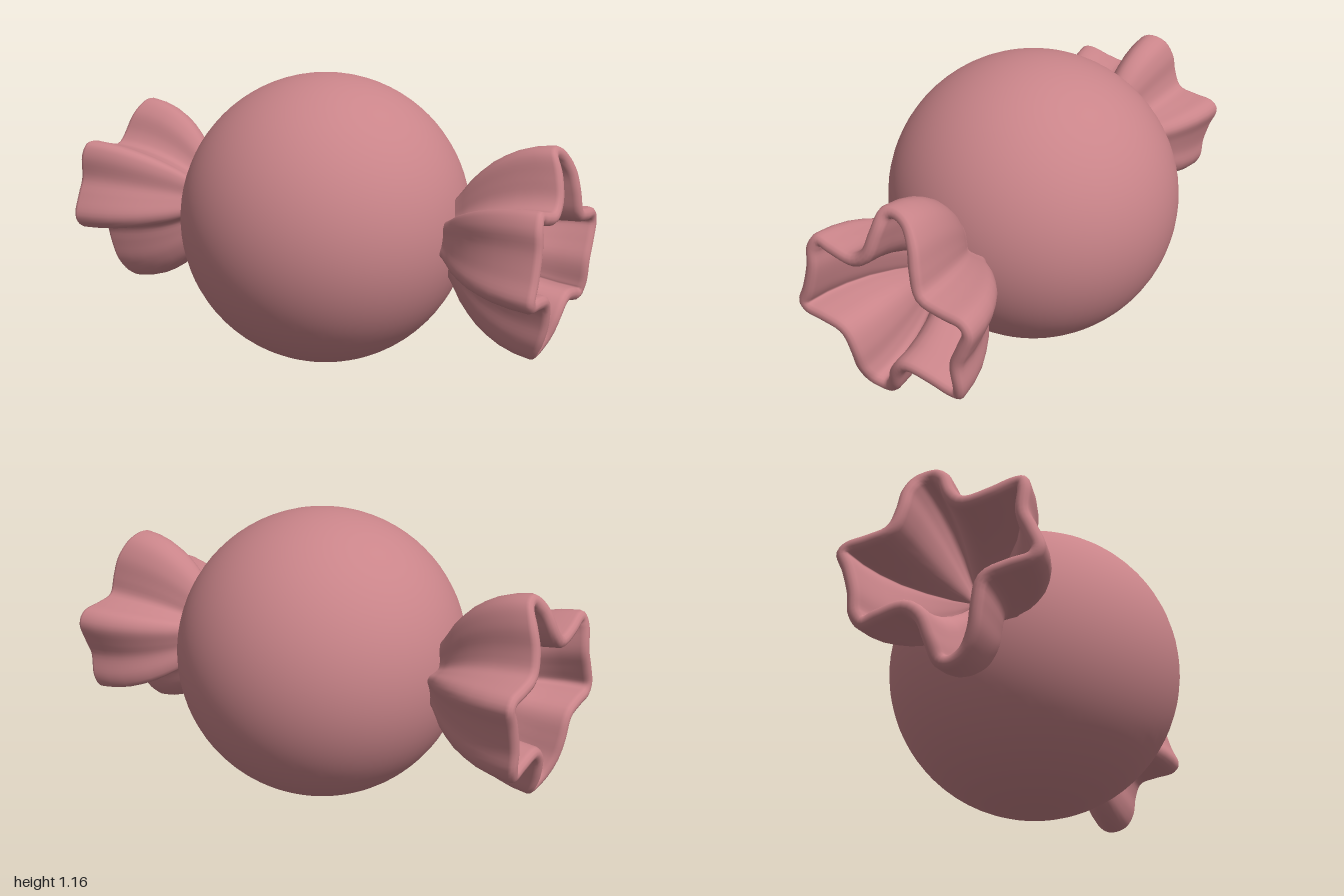
import * as THREE from 'three';

const CENTER_Y = 0.58;
const RING = 144;

// Crumpled star outline of the wrapper mouth: [z, y] about the candy axis
const OUTLINE = [
  [0.02, 0.37], [-0.03, 0.386], [-0.1, 0.36], [-0.148, 0.29], [-0.168, 0.2], [-0.185, 0.13],
  [-0.25, 0.11], [-0.345, 0.09], [-0.375, 0.04], [-0.345, -0.05], [-0.32, -0.11], [-0.322, -0.21],
  [-0.3, -0.258], [-0.26, -0.263], [-0.17, -0.235], [-0.085, -0.222], [-0.05, -0.26], [-0.01, -0.35],
  [0.05, -0.396], [0.12, -0.378], [0.155, -0.31], [0.165, -0.22], [0.19, -0.155], [0.26, -0.135],
  [0.345, -0.118], [0.374, -0.08], [0.345, 0], [0.32, 0.09], [0.312, 0.17], [0.27, 0.22],
  [0.2, 0.205], [0.115, 0.19], [0.075, 0.22], [0.05, 0.29],
];

// Rows along the twist: [fraction of length, scale, inward offset, lip bulge]
function wrapperRows() {
  const rows = [[0, 0.3, 0, 0], [0.08, 0.33, 0, 0], [0.15, 0.4, 0, 0], [0.22, 0.5, 0, 0],
    [0.28, 0.59, 0, 0], [0.37, 0.69, 0, 0], [0.47, 0.785, 0, 0], [0.58, 0.86, 0, 0],
    [0.7, 0.925, 0, 0], [0.85, 0.975, 0, 0]];
  const half = 0.025;
  for (let i = 0; i <= 6; i++) {
    const a = Math.PI * i / 6;
    rows.push([1, 1, half * (1 - Math.cos(a)), half * Math.sin(a)]);
  }
  rows.push([0.85, 0.96, 0.05, 0], [0.7, 0.87, 0.05, 0], [0.55, 0.72, 0.05, 0],
    [0.42, 0.5, 0.05, 0], [0.32, 0.25, 0.05, 0], [0.27, 0.01, 0.05, 0]);
  return rows;
}

// side = 1 builds the +x twist, side = -1 its point reflection
function twistGeometry(side) {
  const curve = new THREE.CatmullRomCurve3(
    OUTLINE.map(([z, y]) => new THREE.Vector3(0, y, z)), true);
  const ring = curve.getSpacedPoints(RING).slice(0, RING);
  const inward = ring.map((p, j) => {
    const t = ring[(j + 3) % RING].clone().sub(ring[(j + RING - 3) % RING]).normalize();
    return new THREE.Vector3(0, t.z, -t.y);
  });
  const rows = wrapperRows();
  const start = 0.5;
  const pos = [], index = [];
  rows.forEach(([f, scale, offset, bulge]) => {
    ring.forEach((p, j) => {
      // the mouth is pulled back at its upper and lower lobes
      const tip = 0.977 - 0.065 * Math.pow(Math.abs(p.y) / 0.39, 3);
      const y = (p.y + inward[j].y * offset) * scale;
      const z = (p.z + inward[j].z * offset) * scale;
      pos.push(side * (start + f * (tip - start) + bulge), side * y, side * z);
    });
  });
  for (let i = 0; i < rows.length - 1; i++) {
    for (let j = 0; j < RING; j++) {
      const k = (j + 1) % RING;
      const a = i * RING + j, b = a + RING, c = i * RING + k, d = c + RING;
      if (side > 0) index.push(a, b, c, b, d, c);
      else index.push(a, c, b, b, c, d);
    }
  }
  const geo = new THREE.BufferGeometry();
  geo.setAttribute('position', new THREE.Float32BufferAttribute(pos, 3));
  geo.setIndex(index);
  geo.computeVertexNormals();
  return geo;
}

export function createModel() {
  const model = new THREE.Group();
  model.name = 'wrappedCandy';
  const pink = new THREE.MeshStandardMaterial({ color: 0xc98489 });
  pink.name = 'dusty pink';

  // Round candy body
  const body = new THREE.Mesh(new THREE.SphereGeometry(0.58, 64, 40), pink);
  body.name = 'candyBody';
  body.position.y = CENTER_Y;
  model.add(body);

  // Twisted wrapper ends
  for (const side of [1, -1]) {
    const twist = new THREE.Mesh(twistGeometry(side), pink);
    twist.name = side > 0 ? 'leftWrapperTwist' : 'rightWrapperTwist';
    twist.position.y = CENTER_Y;
    model.add(twist);
  }
  return model;
}
